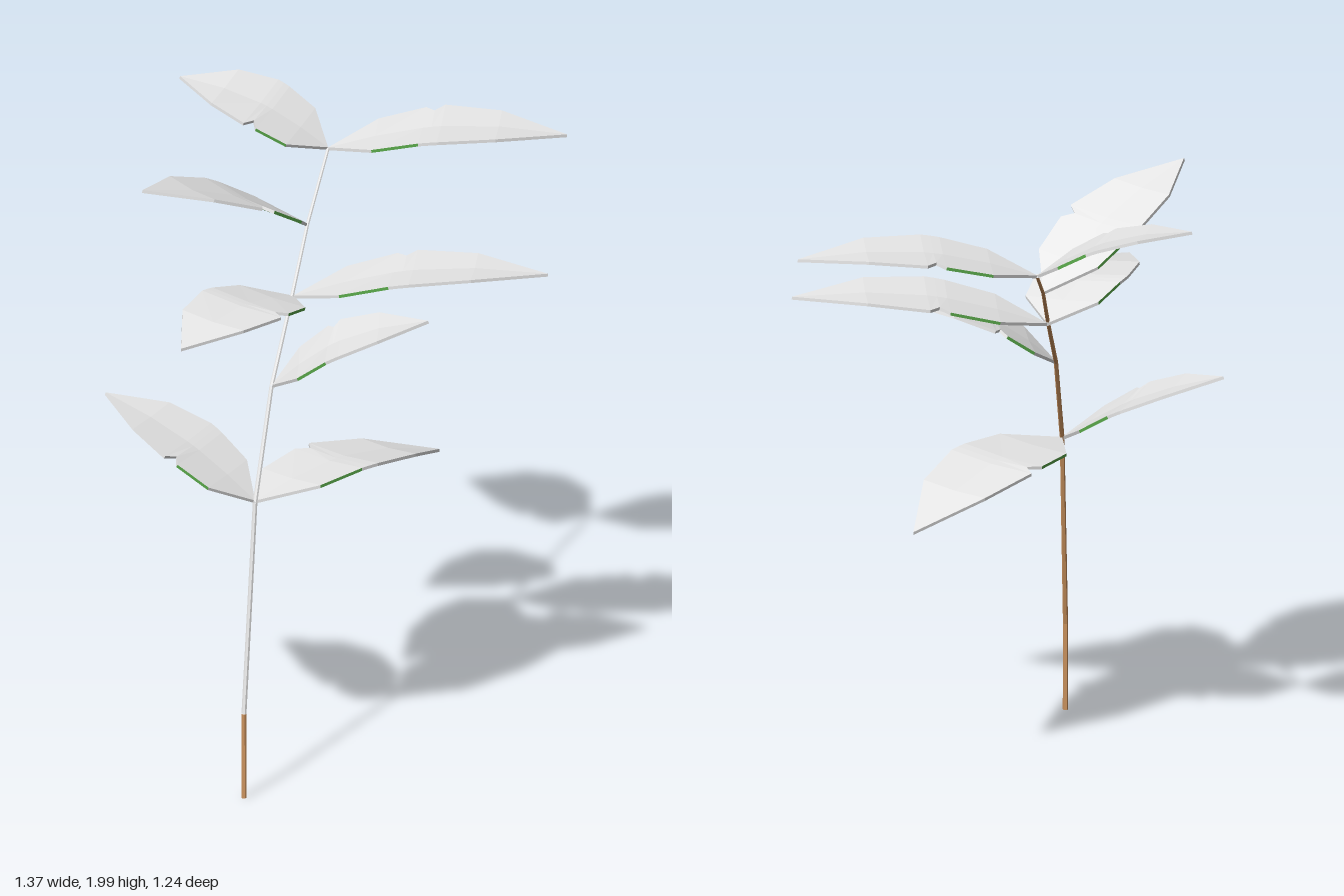
import * as THREE from 'three';

const snow = new THREE.MeshStandardMaterial({ color: 0xf0f0f0 });
const green = new THREE.MeshStandardMaterial({ color: 0x5cac4c });
const bark = new THREE.MeshStandardMaterial({ color: 0xcf9560 });
snow.name = 'snow';
green.name = 'leafGreen';
bark.name = 'bark';

// Leaf outline: [position along the leaf, left half width, right half width]
const OUTLINE = [
  [0, 0, 0], [0.2, 0.13, 0.125], [0.4, 0.15, 0.145], [0.44, 0.115, 0.148],
  [0.48, 0.155, 0.15], [0.72, 0.115, 0.12], [1, 0, 0],
];
const SNOW_DEPTH = 0.01;
const SNOW_ARC = Math.PI * 0.85;

const vec = (p) => new THREE.Vector3(...p);

// Unshared corners give faceted normals
function facets(points, material, name) {
  const geo = new THREE.BufferGeometry().setFromPoints(points);
  geo.computeVertexNormals();
  const mesh = new THREE.Mesh(geo, material);
  mesh.name = name;
  return mesh;
}

// Arched leaf: a layer of snow with a thin rim, green underside with a low rib
function makeLeaf({ base, tip, arch, roll = 0 }) {
  const a = vec(base), b = vec(tip);
  const dir = b.clone().sub(a).normalize();
  const left = new THREE.Vector3(0, 1, 0).cross(dir).normalize().applyAxisAngle(dir, roll);
  const up = dir.clone().cross(left);

  const rows = OUTLINE.map(([t, wl, wr]) => {
    const bend = Math.sin(Math.PI * t);
    const axis = a.clone().lerp(b, t);
    const at = (side, h) => axis.clone().addScaledVector(left, side).addScaledVector(up, h);
    const rim = arch * bend;
    return {
      left: at(wl, rim),
      right: at(-wr, rim),
      mid: at(0, rim - 0.008 * bend),
      lowLeft: at(wl, rim - SNOW_DEPTH),
      lowRight: at(-wr, rim - SNOW_DEPTH),
      rib: at(0, rim - SNOW_DEPTH - 0.014 * bend),
    };
  });

  const white = [], leafy = [];
  const quad = (list, p, q, r, s) => list.push(p, q, r, p, r, s);
  for (let i = 0; i < rows.length - 1; i++) {
    const p = rows[i], q = rows[i + 1];
    // Upper face
    quad(white, p.mid, q.mid, q.left, p.left);
    quad(white, p.right, q.right, q.mid, p.mid);
    // Rim, with bare green patches near the stalk
    const rim = i === 1 ? leafy : white;
    quad(rim, p.lowLeft, p.left, q.left, q.lowLeft);
    quad(rim, p.lowRight, q.lowRight, q.right, p.right);
    // Underside
    quad(leafy, p.rib, p.lowLeft, q.lowLeft, q.rib);
    quad(leafy, p.lowRight, p.rib, q.rib, q.lowRight);
  }

  const leaf = new THREE.Group();
  leaf.name = 'leaf';
  leaf.add(facets(white, snow, 'leafSnow'), facets(leafy, green, 'leafUnderside'));
  return leaf;
}

// Part of the wall of a thin tapered stem piece
function stemStrip(from, to, r0, r1, start, arc, material, name) {
  const a = vec(from), b = vec(to), d = b.clone().sub(a);
  const geo = new THREE.CylinderGeometry(r1, r0, d.length(), 3, 1, true, start, arc).toNonIndexed();
  geo.computeVertexNormals();
  const mesh = new THREE.Mesh(geo, material);
  mesh.quaternion.setFromUnitVectors(new THREE.Vector3(0, 1, 0), d.normalize());
  mesh.position.copy(a).add(b).multiplyScalar(0.5);
  mesh.name = name;
  return mesh;
}

export function createModel() {
  const model = new THREE.Group();
  model.name = 'snowyTwig';

  // Stem bending backward, bare at the foot and snowy on its upper side
  const path = [
    [-0.172, 0, 0.605], [-0.172, 0.29, 0.605], [-0.165, 0.96, 0.46], [-0.15, 1.28, 0.27],
    [-0.13, 1.49, 0.05], [-0.12, 1.66, -0.16], [-0.107, 1.81, -0.43],
  ];
  const stem = new THREE.Group();
  stem.name = 'stem';
  const radius = (i) => 0.009 - i * 0.0006;
  for (let i = 0; i < path.length - 1; i++) {
    const args = [path[i], path[i + 1], radius(i), radius(i + 1)];
    const bare = i === 0;
    stem.add(stemStrip(...args, -SNOW_ARC / 2, SNOW_ARC, bare ? bark : snow, bare ? 'stemFoot' : 'stemSnow'));
    stem.add(stemStrip(...args, SNOW_ARC / 2, Math.PI * 2 - SNOW_ARC, bark, 'stemBark'));
  }
  model.add(stem);

  // Leaves from the top of the stem downward
  const leaves = [
    { base: [-0.107, 1.815, -0.43], tip: [0.65, 1.89, -0.51], arch: 0.06 },
    { base: [-0.107, 1.815, -0.43], tip: [-0.6, 1.99, -0.5], arch: 0.05, roll: -0.1 },
    { base: [-0.12, 1.665, -0.16], tip: [-0.555, 1.95, 0.33], arch: 0.05 },
    { base: [-0.128, 1.495, 0.03], tip: [0.68, 1.605, -0.05], arch: 0.06, roll: -0.03 },
    { base: [-0.128, 1.495, 0.03], tip: [-0.375, 1.535, 0.61], arch: 0.06, roll: -0.06 },
    { base: [-0.15, 1.285, 0.27], tip: [0.34, 1.515, 0.19], arch: 0.06 },
    { base: [-0.165, 0.965, 0.46], tip: [0.29, 0.885, -0.245], arch: 0.075, roll: -0.07 },
    { base: [-0.165, 0.965, 0.46], tip: [-0.68, 1.228, 0.3], arch: 0.04 },
  ];
  for (const spec of leaves) model.add(makeLeaf(spec));

  return model;
}
